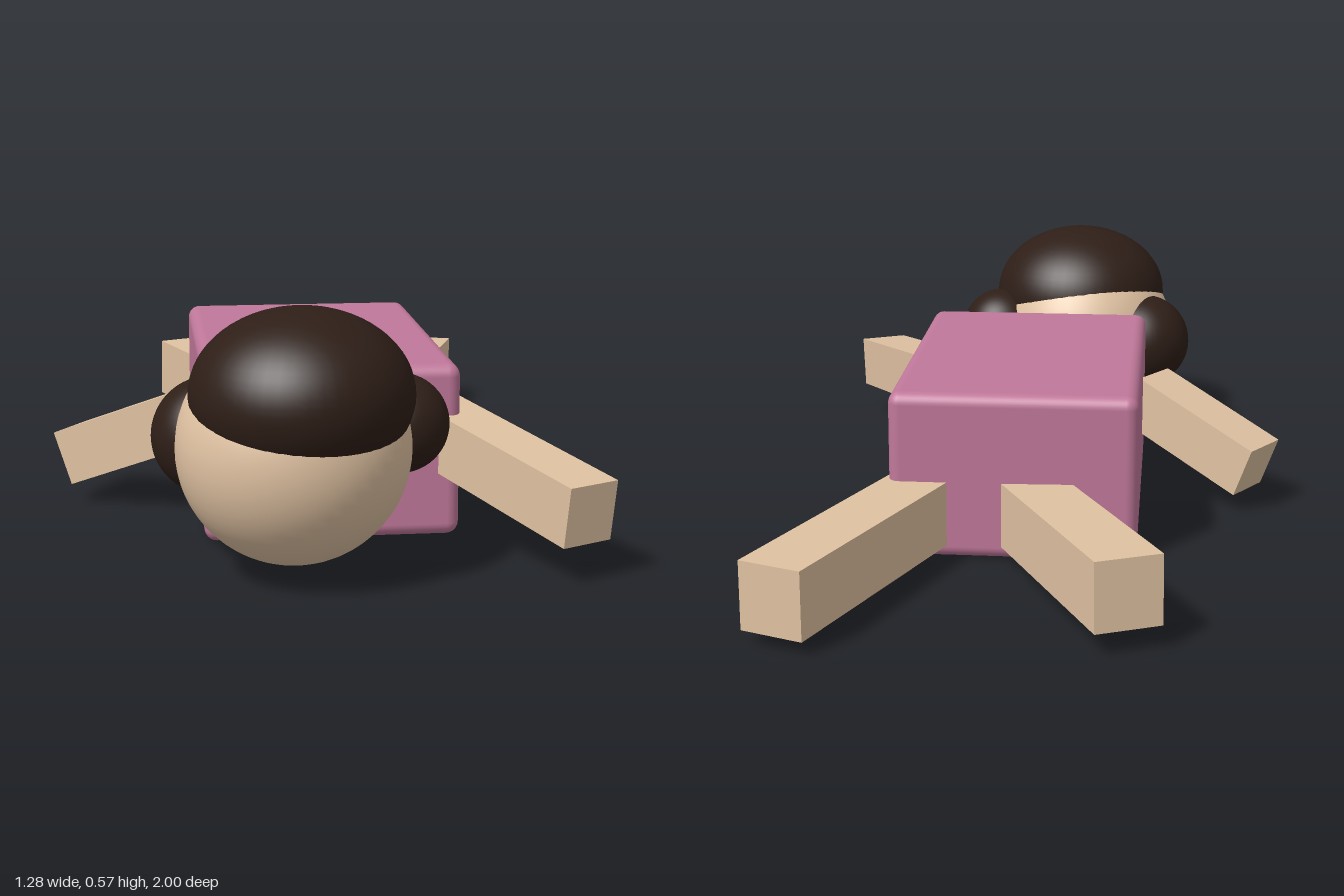
import * as THREE from 'three';
import { RoundedBoxGeometry } from 'three/addons/geometries/RoundedBoxGeometry.js';

export function createModel() {
  const model = new THREE.Group();
  const skin = new THREE.MeshStandardMaterial({ color: 0xe0c2a2 });
  const cloth = new THREE.MeshStandardMaterial({ color: 0xc0789a });
  const hair = new THREE.MeshStandardMaterial({ color: 0x2e1e17 });

  const add = (name, geometry, material, x, y, z) => {
    const mesh = new THREE.Mesh(geometry, material);
    mesh.name = name;
    mesh.position.set(x, y, z);
    model.add(mesh);
    return mesh;
  };
  const ball = (name, material, radius, x, y, z) =>
    add(name, new THREE.SphereGeometry(radius, 48, 32), material, x, y, z);

  // A square bar running from its free end to the end at the body
  const limb = (name, width, height, outer, inner) => {
    const a = new THREE.Vector3(...outer);
    const b = new THREE.Vector3(...inner);
    const mid = a.clone().add(b).multiplyScalar(0.5);
    add(name, new THREE.BoxGeometry(width, height, a.distanceTo(b)), skin, mid.x, mid.y, mid.z).lookAt(a);
  };

  // Torso lying flat, turned slightly to its left
  add('torso', new RoundedBoxGeometry(0.57, 0.39, 0.86, 4, 0.028), cloth, -0.03, 0.2, 0.06)
    .rotation.y = THREE.MathUtils.degToRad(9.8);

  // Head with a flattened cap of hair and two side buns
  ball('head', skin, 0.245, -0.025, 0.282, 0.735);
  ball('hairCap', hair, 0.232, -0.005, 0.4, 0.766).scale.y = 0.178 / 0.232;
  ball('rightHairBun', hair, 0.125, -0.205, 0.287, 0.67);
  ball('leftHairBun', hair, 0.106, 0.19, 0.31, 0.632);

  // Arms
  limb('leftArm', 0.124, 0.132, [0.585, 0.155, 0.765], [0.2, 0.246, 0.237]);
  limb('rightArm', 0.13, 0.13, [-0.593, 0.11, 0.149], [-0.288, 0.24, 0.279]);

  // Legs
  limb('leftLeg', 0.146, 0.152, [0.235, 0.112, -0.985], [0.092, 0.112, -0.25]);
  limb('rightLeg', 0.15, 0.153, [-0.465, 0.133, -0.812], [-0.075, 0.108, -0.227]);

  return model;
}
